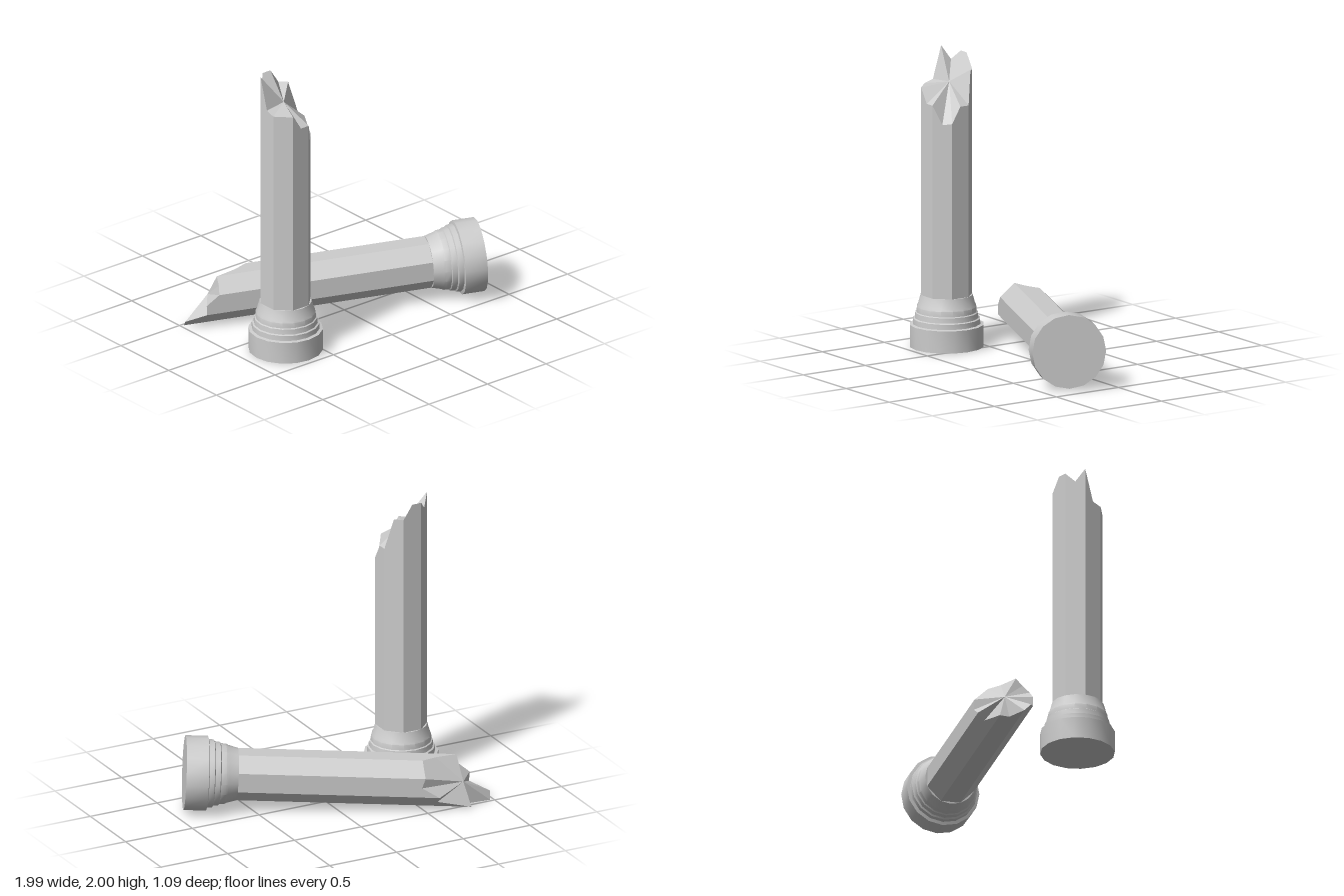
import * as THREE from 'three';
import { toCreasedNormals } from 'three/addons/utils/BufferGeometryUtils.js';

const grey = new THREE.MeshStandardMaterial({ color: 0xcccccc });
const greyFlat = new THREE.MeshStandardMaterial({ color: 0xcccccc, flatShading: true });

// Eight-sided shaft whose top is a jagged break: one rim height per corner
// and per middle of a side, all joined to a point inside the break.
function brokenShaft(rim, centre) {
  const n = rim.length, apothem = 0.16, bottom = 0.34, pos = [];
  const at = (k, y) => {
    const i = k % n, a = (i / n) * Math.PI * 2;
    const r = i % 2 ? apothem / Math.cos(Math.PI / 8) : apothem;
    return [r * Math.cos(a), y ?? rim[i], r * Math.sin(a)];
  };
  for (let k = 0; k < n; k++) {
    const b0 = at(k, bottom), b1 = at(k + 1, bottom), t0 = at(k), t1 = at(k + 1);
    pos.push(...b0, ...t0, ...t1, ...b0, ...t1, ...b1); // side
    pos.push(...centre, ...t1, ...t0); // broken face
    pos.push(0, bottom, 0, ...b0, ...b1); // underside
  }
  const g = new THREE.BufferGeometry();
  g.setAttribute('position', new THREE.Float32BufferAttribute(pos, 3));
  g.computeVertexNormals();
  return g;
}

// Round plinth with stepped rings narrowing to the shaft
function baseGeometry() {
  const profile = [
    [0, 0], [0.248, 0], [0.248, 0.15], [0.227, 0.155], [0.225, 0.19], [0.214, 0.195],
    [0.21, 0.23], [0.202, 0.235], [0.2, 0.27], [0.192, 0.285], [0.174, 0.35], [0, 0.35],
  ].map(([r, y]) => new THREE.Vector2(r, y));
  return toCreasedNormals(new THREE.LatheGeometry(profile, 16), 0.5);
}

function column(name, rim, centre) {
  const group = new THREE.Group();
  group.name = name;
  const base = new THREE.Mesh(baseGeometry(), grey);
  base.name = 'columnBase';
  const shaft = new THREE.Mesh(brokenShaft(rim, centre), greyFlat);
  shaft.name = 'brokenShaft';
  group.add(base, shaft);
  return group;
}

export function createModel() {
  const model = new THREE.Group();
  model.name = 'brokenColumns';

  const standing = column('standingColumn',
    [1.65, 1.54, 1.53, 1.66, 1.66, 1.76, 1.76, 1.76, 1.78, 2.0, 1.91, 1.97, 1.97, 1.87, 1.87, 1.65],
    [0, 1.79, -0.02]);
  standing.position.set(-0.68, 0, 0.22);

  // Lies on its side, its foot at the front left and its break at the back right
  const fallen = column('fallenColumn',
    [1.57, 1.59, 1.58, 1.57, 1.66, 1.8, 1.8, 1.81, 1.9, 1.9, 2.04, 2.04, 1.9, 1.91, 1.68, 1.69],
    [0.02, 1.85, 0]);
  const axis = new THREE.Vector3(-0.904, -0.05, -0.425).normalize();
  const side = new THREE.Vector3(0.425, 0, -0.904).normalize();
  const up = new THREE.Vector3().crossVectors(side, axis);
  fallen.quaternion.setFromRotationMatrix(new THREE.Matrix4().makeBasis(side, axis, up));
  fallen.position.set(0.89, 0.26, 0.32);

  model.add(standing, fallen);
  return model;
}
